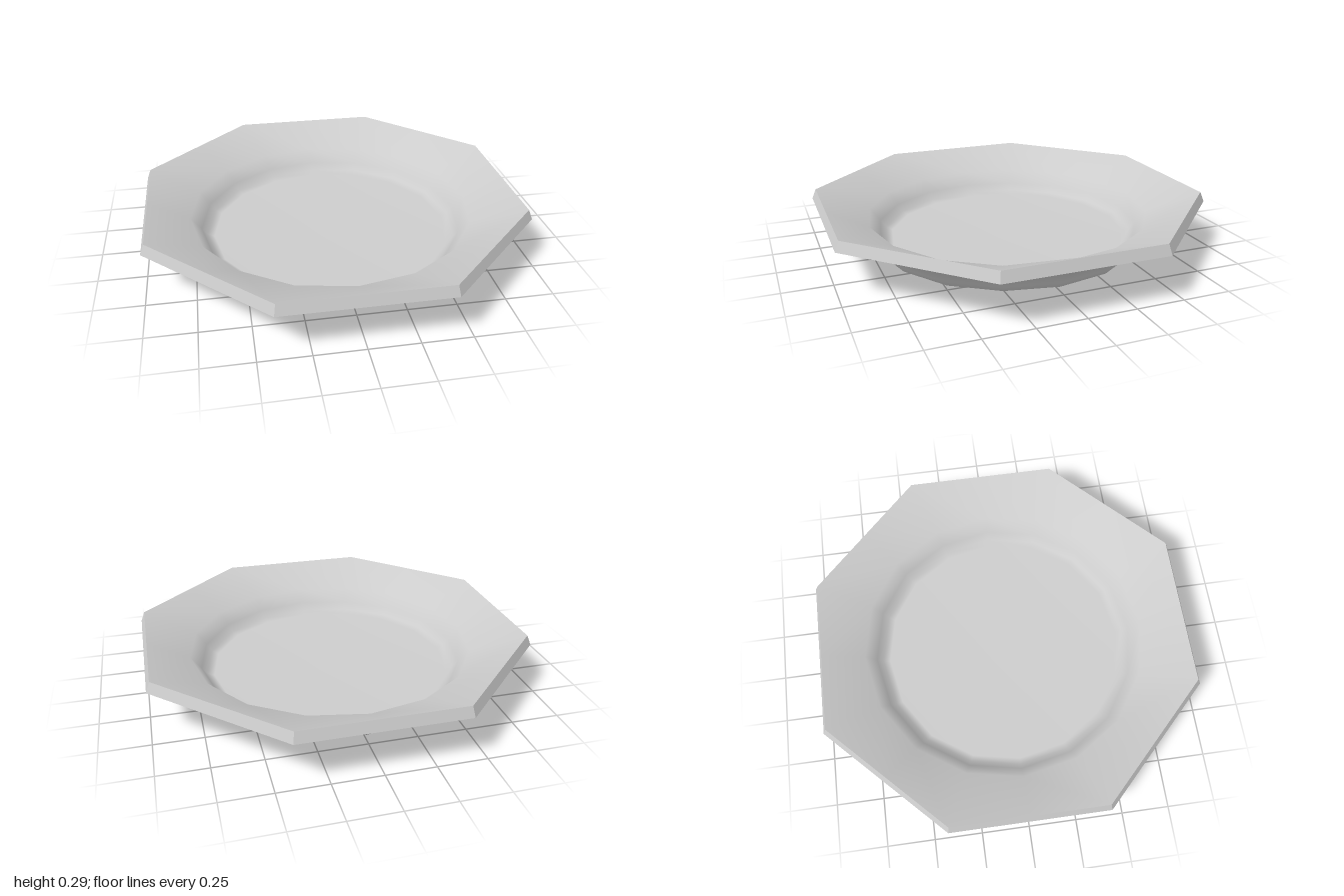
import * as THREE from 'three';

const SIDES = 16;

// Corners of one ring: a round 16-gon, or an octagon with points at its mid-edges.
function ringPoint([radius, y, octagon], j) {
  const a = (j / SIDES) * Math.PI * 2;
  const r = octagon && j % 2 ? radius / Math.cos(Math.PI / 8) : radius;
  return [r * Math.cos(a), y, r * Math.sin(a)];
}

// Skin a list of [radius, height, isOctagon] rings.
function skin(rings, flat) {
  const positions = [], index = [];
  for (const ring of rings)
    for (let j = 0; j < SIDES; j++) positions.push(...ringPoint(ring, j));
  for (let i = 0; i < rings.length - 1; i++) {
    for (let j = 0; j < SIDES; j++) {
      const k = (j + 1) % SIDES;
      const a = i * SIDES + j, c = i * SIDES + k;
      const b = a + SIDES, d = c + SIDES;
      if (rings[i][0] > 0) index.push(a, c, b);
      if (rings[i + 1][0] > 0) index.push(c, d, b);
      else if (rings[i][0] === 0) index.push(a, c, b);
    }
  }
  let geometry = new THREE.BufferGeometry();
  geometry.setAttribute('position', new THREE.Float32BufferAttribute(positions, 3));
  geometry.setIndex(index);
  if (flat) geometry = geometry.toNonIndexed();
  geometry.computeVertexNormals();
  return geometry;
}

export function createModel() {
  const group = new THREE.Group();
  group.name = 'plate';
  const ceramic = new THREE.MeshStandardMaterial({ color: 0xcccccc });
  ceramic.name = 'pale grey ceramic';

  const add = (name, rings, flat) => {
    const mesh = new THREE.Mesh(skin(rings, flat), ceramic);
    mesh.name = name;
    group.add(mesh);
  };

  // Hollow upper face, from the floor out to the octagonal lip
  add('upperFace', [
    [0, 0.055], [0.645, 0.055], [0.68, 0.072], [0.71, 0.11],
    [0.765, 0.18], [0.98, 0.29, true],
  ]);

  // Flat-faceted bevelled edge
  add('rimEdge', [[0.98, 0.29, true], [1, 0.237, true]], true);

  // Underside, from the rim in to the foot
  add('underside', [
    [1, 0.237, true], [0.8, 0.135], [0.75, 0.065], [0.71, 0.025],
    [0.645, 0], [0, 0],
  ]);

  return group;
}
